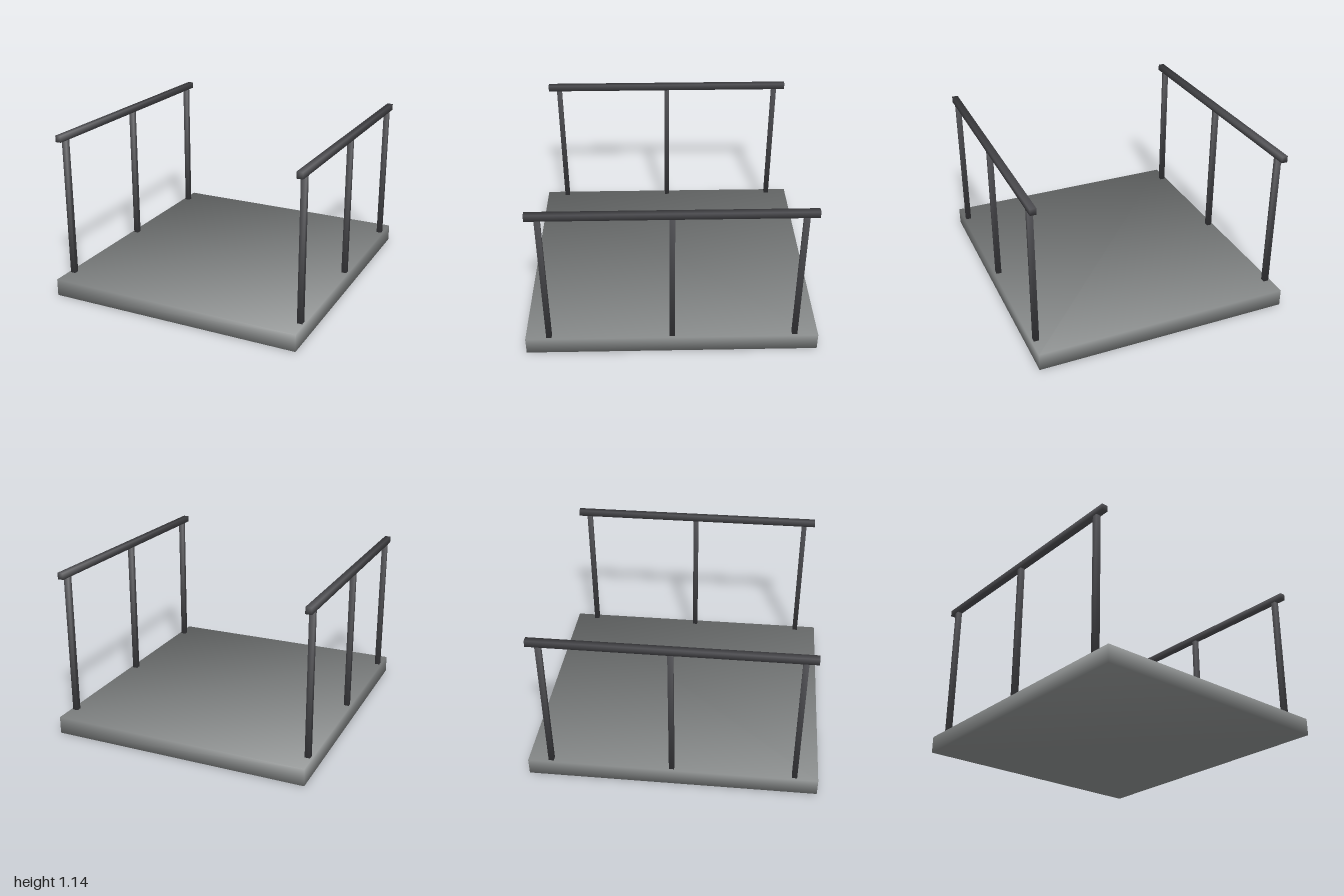
import * as THREE from 'three';

const deckMaterial = new THREE.MeshStandardMaterial({ color: 0x8c8f8f });
const railMaterial = new THREE.MeshStandardMaterial({ color: 0x4c4c50 });

// Box with soft shading: each corner's normal points diagonally outward.
function softBox(name, size, position, material) {
  const geometry = new THREE.BoxGeometry(...size);
  const { position: corners, normal } = geometry.attributes;
  const k = 1 / Math.sqrt(3);
  for (let i = 0; i < corners.count; i++) {
    normal.setXYZ(i,
      Math.sign(corners.getX(i)) * k,
      Math.sign(corners.getY(i)) * k,
      Math.sign(corners.getZ(i)) * k);
  }
  const mesh = new THREE.Mesh(geometry, material);
  mesh.name = name;
  mesh.position.set(...position);
  return mesh;
}

export function createModel() {
  const model = new THREE.Group();
  model.name = 'platformWithRailings';

  const deckHeight = 0.12, railBottom = 1.1, railHeight = 0.045;
  const postHeight = railBottom - deckHeight;

  // Deck slab
  model.add(softBox('deck', [1.8, deckHeight, 2], [0, deckHeight / 2, 0], deckMaterial));

  // One railing per side: three posts under a handrail
  for (const side of [1, -1]) {
    const railing = new THREE.Group();
    railing.name = side > 0 ? 'leftRailing' : 'rightRailing';
    railing.position.x = side * 0.867;
    ['backPost', 'middlePost', 'frontPost'].forEach((name, i) => {
      railing.add(softBox(name, [0.036, postHeight, 0.036],
        [0, deckHeight + postHeight / 2, (i - 1) * 0.84], railMaterial));
    });
    railing.add(softBox('handrail', [0.042, railHeight, 1.84],
      [0, railBottom + railHeight / 2, 0], railMaterial));
    model.add(railing);
  }
  return model;
}
